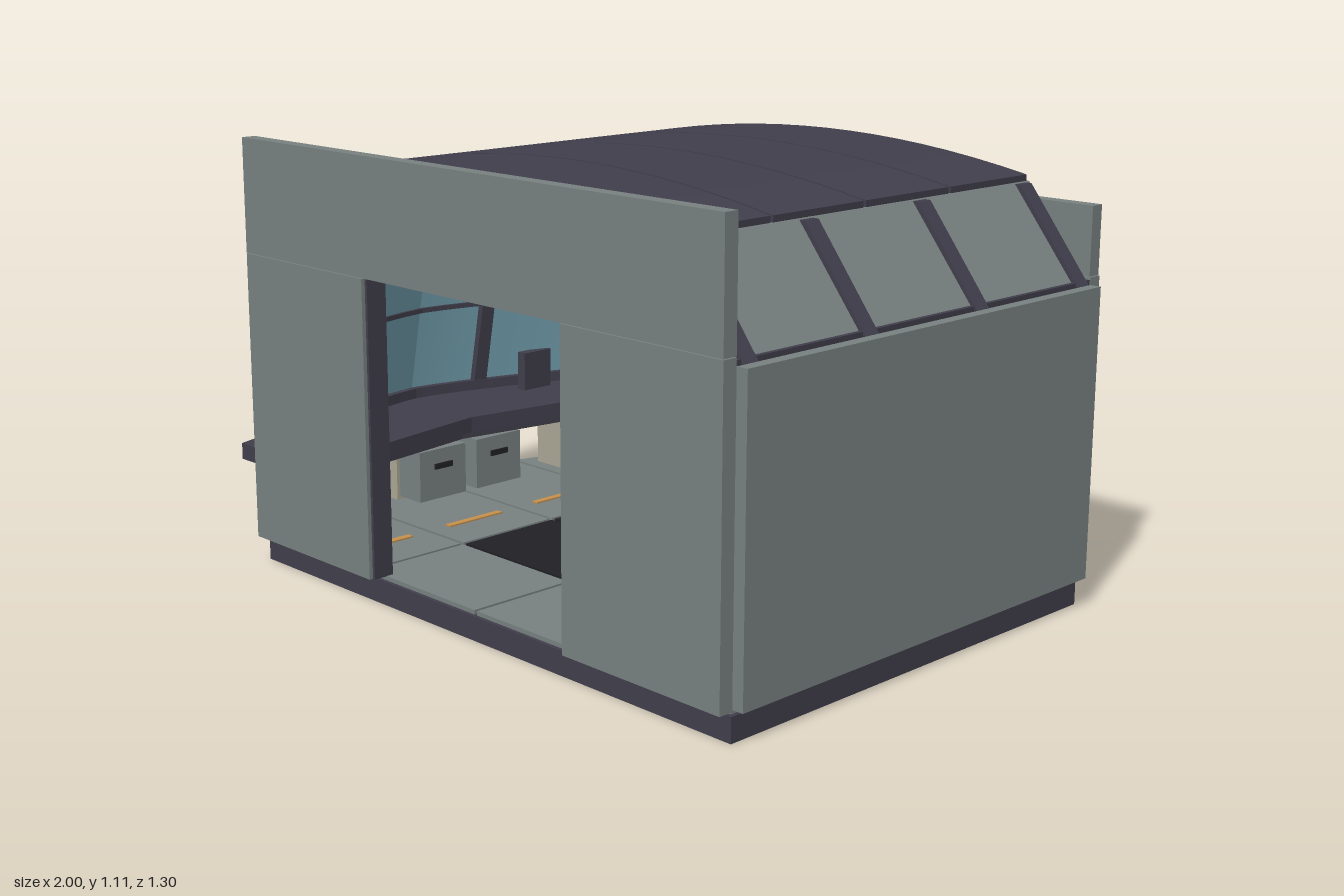
import * as THREE from 'three';
import { toCreasedNormals } from 'three/addons/utils/BufferGeometryUtils.js';

const mat = (name, color) => {
  const m = new THREE.MeshStandardMaterial({ color });
  m.name = name;
  return m;
};

export function createModel() {
  const model = new THREE.Group();
  const grey = mat('wall grey', 0x788180), dark = mat('dark frame', 0x403e4b);
  const black = mat('black mat', 0x212024), glass = mat('window blue', 0x76a5b4);
  const beige = mat('cabinet beige', 0xaaa694), amber = mat('amber strip', 0xc58f4c);
  const lerp = THREE.MathUtils.lerp;

  const add = (name, geo, material) => {
    const m = new THREE.Mesh(geo, material);
    m.name = name;
    model.add(m);
    return m;
  };
  // box given by its limits on each axis
  const box = (name, material, [x0, x1], [y0, y1], [z0, z1]) => {
    const g = new THREE.BoxGeometry(x1 - x0, y1 - y0, z1 - z0);
    return add(name, g.translate((x0 + x1) / 2, (y0 + y1) / 2, (z0 + z1) / 2), material);
  };
  // subdivided unit box whose corners (0..1) are moved by a rule
  const warp = (name, material, [a, b, c], rule) => {
    const g = new THREE.BoxGeometry(1, 1, 1, a, b, c), p = g.attributes.position;
    for (let i = 0; i < p.count; i++) p.setXYZ(i, ...rule(p.getX(i) + 0.5, p.getY(i) + 0.5, p.getZ(i) + 0.5));
    return add(name, toCreasedNormals(g, 0.25), material);
  };
  // flat slab from an x,z outline
  const slab = (name, material, pts, y0, y1) => {
    const shape = new THREE.Shape(pts.map(([x, z]) => new THREE.Vector2(x, -z)));
    const g = new THREE.ExtrudeGeometry(shape, { depth: y1 - y0, bevelEnabled: false });
    return add(name, g.rotateX(-Math.PI / 2).translate(0, y0, 0), material);
  };

  // guiding curves: bay outline at three levels, and the roof arch
  const bow = (tip, side, power) => z => tip + (side - tip) * Math.pow(Math.min(Math.abs(z) / 0.61, 1), power);
  const sill = bow(-0.87, -0.68, 1.35), head = bow(-0.775, -0.6, 1.35), eave = bow(-0.625, -0.49, 1.4);
  const floorEdge = bow(-0.87, -0.685, 1);
  const roofY = x => 1.105 - 0.15 * (x - 0.15) ** 2;
  const eaveY = z => roofY(eave(z)) - 0.015;

  // sheet leaning between two curves
  const sheet = (name, material, lo, hi, y0, y1, [z0, z1], t, seg = 6, out = 0) =>
    warp(name, material, [1, 1, seg], (u, v, w) => {
      const z = lerp(z0, z1, w);
      return [lerp(lo(z), hi(z), v) + (u - 0.5) * t + out, lerp(y0, typeof y1 === 'function' ? y1(z) : y1, v), z];
    });
  const glassX = y => z => lerp(sill(z), head(z), (y - 0.32) / 0.48);

  // base and floor tiles
  slab('base', dark, [[0.97, 0.615], [0.97, -0.615], [-0.69, -0.615], [-0.88, 0], [-0.69, 0.615]], 0, 0.06);
  const columns = [[0.555, 0.96], [0.145, 0.545], [-0.265, 0.135], [-0.69, -0.275]];
  for (let r = 0; r < 4; r++) {
    const z0 = -0.61 + r * 0.305 + 0.005, z1 = z0 + 0.295;
    columns.forEach(([x0, x1], c) => {
      const isMat = c === 2 && (r === 1 || r === 2);
      warp('floorTile', isMat ? black : grey, [1, 1, 1], (u, v, w) => {
        const z = lerp(z0, z1, w);
        return [lerp(c === 3 ? floorEdge(z) : x0, x1, u), lerp(0.058, 0.071, v), z];
      });
    });
    const zc = (z0 + z1) / 2;
    for (const x of [-0.41, 0.59]) box('floorLightStrip', amber, [x - 0.01, x + 0.01], [0.07, 0.075], [zc - 0.09, zc + 0.09]);
  }

  // front and back walls with wide openings
  for (const s of [1, -1]) {
    const span = (a, b) => (s > 0 ? [a, b] : [-b, -a]);
    const z = span(0.612, 0.65);
    box('wallPanel', grey, [-0.69, -0.21], [0.07, 0.818], z);
    box('wallPanel', grey, [0.49, 0.97], [0.07, 0.818], z);
    box('wallHeader', grey, [-0.69, 0.97], [0.82, s > 0 ? 1.112 : 0.99], s > 0 ? z : span(0.608, 0.645));
    for (const [a, b] of [[-0.22, -0.202], [0.488, 0.505]]) box('doorJamb', dark, [a, b], [0.07, 0.815], span(0.585, 0.64));
    box('doorHeadFrame', dark, [-0.22, 0.505], [0.818, 0.845], span(0.575, 0.612));
    box('doorLightStrip', amber, [-0.2, 0.485], [0.812, 0.818], span(0.585, 0.6));
  }
  box('roofBracket', dark, [-0.52, -0.48], [0.99, 1.015], [-0.635, -0.61]);

  // side wall and the sloped panel above it
  box('sideWall', grey, [0.965, 1], [0.075, 0.8], [-0.612, 0.612]);
  box('sideWallRail', dark, [0.945, 0.97], [0.795, 0.812], [-0.61, 0.61]);
  sheet('slopedSidePanel', grey, () => 0.95, () => 0.775, 0.81, 1.03, [-0.61, 0.61], 0.02, 1);
  for (const z of [0.578, 0.203, -0.183, -0.573])
    sheet('sideRib', dark, () => 0.955, () => 0.78, 0.803, 1.028, [z - 0.022, z + 0.022], 0.045, 1);

  // arched roof panels, ceiling panels and ribs
  for (let i = 0; i < 4; i++) {
    const z0 = -0.61 + i * 0.305 + 0.004, z1 = z0 + 0.297;
    warp('roofPanel', dark, [16, 1, 3], (u, v, w) => {
      const z = lerp(z0, z1, w), x = lerp(eave(z), 0.78, u);
      return [x, roofY(x) - 0.02 * (1 - v), z];
    });
    warp('ceilingPanel', amber, [3, 1, 1], (u, v, w) => {
      const x = lerp(-0.47, -0.28, u);
      return [x, roofY(x) - 0.028 + 0.007 * v, lerp(z0 + 0.04, z1 - 0.04, w)];
    });
  }
  for (const z of [-0.595, -0.305, 0, 0.305, 0.595])
    warp('roofRib', grey, [16, 1, 1], (u, v, w) => {
      const zz = z + (w - 0.5) * 0.035, x = lerp(eave(zz) + 0.01, 0.775, u);
      return [x, roofY(x) - 0.018 - 0.035 * (1 - v), zz];
    });

  // window bay: glass, rails, upper visor, mullions
  const full = [-0.61, 0.61];
  sheet('windowGlass', glass, sill, head, 0.32, 0.8, full, 0.008, 16);
  sheet('visor', grey, head, eave, 0.81, eaveY, full, 0.015, 12);
  sheet('windowSill', dark, sill, sill, 0.3, 0.328, full, 0.05, 16);
  sheet('windowMidRail', dark, glassX(0.56), glassX(0.56), 0.553, 0.566, full, 0.03, 16);
  sheet('windowHeadRail', dark, head, head, 0.79, 0.815, full, 0.05, 16);
  for (const z of [-0.59, -0.203, 0.203, 0.59]) {
    const w = [z - 0.018, z + 0.018];
    sheet('windowMullion', dark, sill, head, 0.32, 0.805, w, 0.045, 1);
    sheet('visorMullion', dark, head, eave, 0.805, eaveY, w, 0.05, 1);
  }

  // pointed ledge that carries on inside as a desk, with pedestals below
  slab('deskLedge', dark, [[-1, 0], [-0.81, 0.61], [-0.5, 0.61], [-0.6, 0], [-0.5, -0.61], [-0.81, -0.61]], 0.247, 0.29);
  slab('deskSupport', dark, [[-0.82, 0], [-0.68, 0.58], [-0.55, 0.58], [-0.64, 0], [-0.55, -0.58], [-0.68, -0.58]], 0.22, 0.247);
  for (const z of [-0.44, -0.1, 0.1, 0.44]) {
    const x = floorEdge(z) + 0.015;
    box('deskPedestal', beige, [x, x + 0.13], [0.07, 0.22], [z - 0.09, z + 0.09]);
    box('deskDrawer', grey, [x + 0.13, x + 0.22], [0.08, 0.22], [z - 0.08, z + 0.08]);
    box('drawerHandle', black, [x + 0.22, x + 0.226], [0.165, 0.18], [z - 0.03, z + 0.03]);
  }
  for (const z of [-0.36, 0.36]) box('deskScreen', dark, [-0.76, -0.73], [0.29, 0.4], [z - 0.05, z + 0.05]);

  // cabinets and low bench inside
  box('cornerCabinet', beige, [-0.66, -0.4], [0.07, 0.34], [-0.605, -0.48]);
  box('tallCabinet', beige, [0.86, 0.96], [0.07, 0.6], [0.25, 0.42]);
  box('lowBench', dark, [0.52, 0.56], [0.09, 0.2], [-0.57, 0.3]);
  return model;
}
